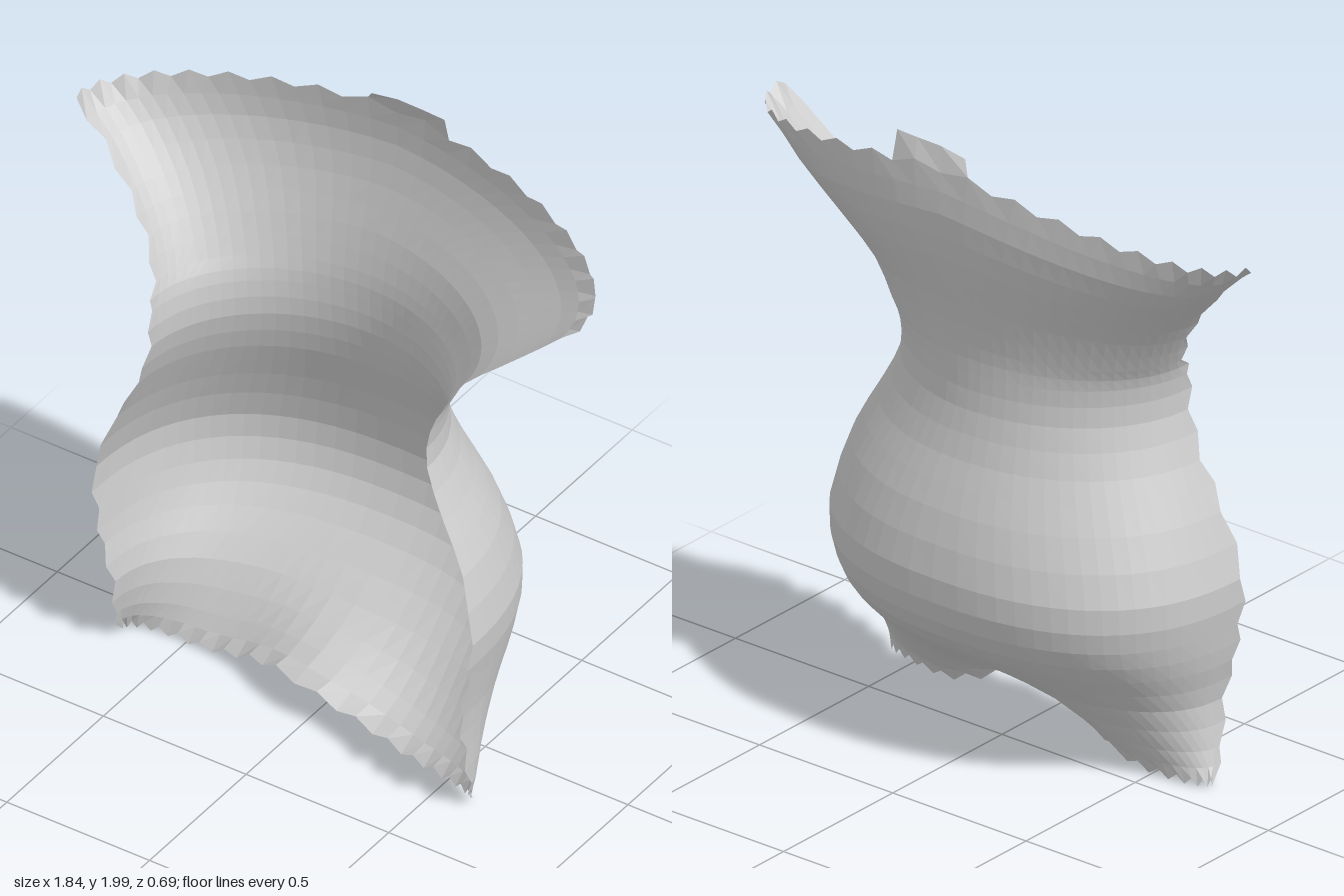
import * as THREE from 'three';

// Cross-sections from top to bottom:
// [y at middle, y at ends, -x side, +x side, back z, -x front z, +x front z, squareness, slant of back]
const SECTIONS = [
  [1.94, 1.79, -0.92, 0.92, -0.28, 0.03, 0.13, 2.2, 0],
  [1.80, 1.68, -0.81, 0.80, -0.29, 0.04, 0.15, 2.2, 0],
  [1.65, 1.56, -0.70, 0.66, -0.27, 0.07, 0.17, 2.1, 0],
  [1.50, 1.45, -0.62, 0.54, -0.235, 0.10, 0.17, 2, 0],
  [1.36, 1.34, -0.56, 0.475, -0.21, 0.15, 0.17, 2, 0],
  [1.27, 1.27, -0.54, 0.455, -0.205, 0.20, 0.22, 2, 0],
  [1.15, 1.15, -0.535, 0.455, -0.21, 0.21, 0.235, 2, 0],
  [1.00, 1.00, -0.58, 0.53, -0.245, 0.21, 0.26, 2.1, 0],
  [0.85, 0.85, -0.65, 0.615, -0.30, 0.22, 0.285, 2.2, 0],
  [0.65, 0.65, -0.715, 0.675, -0.345, 0.23, 0.335, 2.4, 0],
  [0.50, 0.50, -0.705, 0.66, -0.325, 0.23, 0.33, 2.4, 0],
  [0.38, 0.38, -0.685, 0.645, -0.24, 0.23, 0.34, 2.4, 0],
  [0.26, 0.25, -0.655, 0.64, -0.10, 0.22, 0.315, 2.4, 0.04],
  [0.19, 0.11, -0.67, 0.64, 0.03, 0.19, 0.29, 2.4, 0.09],
  [0.14, 0.02, -0.69, 0.61, 0.12, 0.13, 0.24, 2.4, 0.12],
];
const COLS = 36, ROWS = 28;

// Joins a grid of points (rows of equal length) into a surface
function gridGeometry(rows) {
  const n = rows[0].length, index = [];
  for (let r = 0; r < rows.length - 1; r++) {
    for (let c = 0; c < n - 1; c++) {
      const a = r * n + c, b = a + n;
      index.push(a, a + 1, b, a + 1, b + 1, b);
    }
  }
  const geometry = new THREE.BufferGeometry().setFromPoints(rows.flat());
  geometry.setIndex(index);
  geometry.computeVertexNormals();
  return geometry;
}

// Open half-ring from the -x front edge round the back to the +x front edge
function ring(section, v) {
  const [yMid, yEnd, xl, xr, back, zl, zr, power, slant] = section;
  const points = [];
  for (let c = 0; c <= COLS; c++) {
    const angle = Math.PI * (1 - c / COLS);
    const cos = Math.cos(angle);
    const across = Math.pow(Math.abs(cos), 2 / power);
    const depth = Math.pow(Math.max(0, Math.sin(angle)), 2 / power);
    const x = (xl + xr) / 2 + Math.sign(cos) * across * (xr - xl) / 2;
    const front = cos < 0 ? zl : zr;
    // The underside is arched and pushed forward in the middle
    const under = v > 0.5 ? THREE.MathUtils.smoothstep(across, 0, 0.67) : Math.pow(across, 1.3);
    const cleft = 0.65 * slant * Math.exp(-((x / 0.22) ** 2));
    points.push(new THREE.Vector3(
      x,
      THREE.MathUtils.lerp(yMid, yEnd, under),
      front + (back - front) * depth + slant * x * depth + cleft,
    ));
  }
  return points;
}

function shellRows() {
  const spline = new THREE.CubicInterpolant(
    SECTIONS.map((s, i) => i), SECTIONS.flat(), SECTIONS[0].length);
  const rows = [];
  for (let r = 0; r <= ROWS; r++) {
    const v = r / ROWS;
    rows.push(ring(Array.from(spline.evaluate(v * (SECTIONS.length - 1))), v));
  }
  // Ragged cut along the rims
  const tooth = (i) => (i % 2 ? 0.012 : -0.012);
  for (let c = 0; c <= COLS; c++) {
    rows[0][c].y += tooth(c);
    rows[ROWS][c].y += tooth(c);
  }
  rows.forEach((row, r) => {
    row[0].z += tooth(r);
    if (r > ROWS * 0.62) row[COLS].z += tooth(r);
  });
  return rows;
}

export function createModel() {
  const model = new THREE.Group();
  model.name = 'torsoShell';
  const material = new THREE.MeshStandardMaterial({
    color: 0xcccccc, flatShading: true, side: THREE.DoubleSide,
  });
  const add = (name, rows) => {
    const mesh = new THREE.Mesh(gridGeometry(rows), material);
    mesh.name = name;
    model.add(mesh);
  };

  const rows = shellRows();
  add('backShell', rows);

  // Small raised tab in the middle of the upper rim
  const base = rows[0].filter((p) => p.x > -0.15 && p.x < 0.22);
  const tip = base.map((p, i) => new THREE.Vector3(
    p.x * 0.9 + 0.02, i === 0 ? 1.985 : 2, p.z + 0.025));
  add('neckTab', [tip, base]);
  return model;
}
